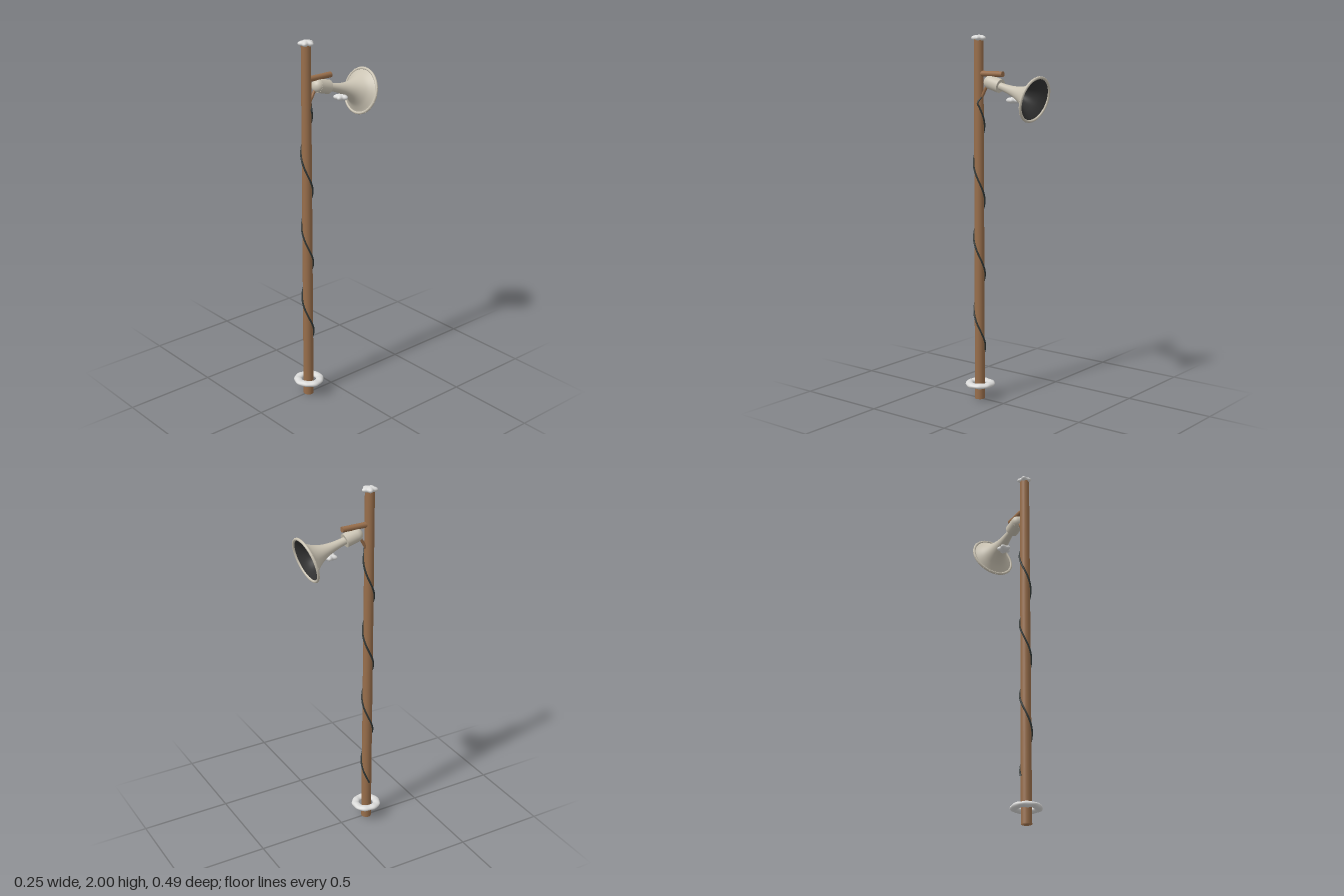
import * as THREE from 'three';
import { mergeVertices } from 'three/addons/utils/BufferGeometryUtils.js';

const POLE_Z = 0.165;

function material(name, color) {
  const m = new THREE.MeshStandardMaterial({ color });
  m.name = name;
  return m;
}

function part(parent, name, geometry, mat, x = 0, y = 0, z = 0) {
  const mesh = new THREE.Mesh(geometry, mat);
  mesh.name = name;
  mesh.position.set(x, y, z);
  parent.add(mesh);
  return mesh;
}

// Welds the corners of a geometry, so its normals run smoothly over all edges.
function weld(geometry) {
  geometry.deleteAttribute('uv');
  geometry.deleteAttribute('normal');
  const g = mergeVertices(geometry, 1e-5);
  g.computeVertexNormals();
  return g;
}

// Moves every vertex of a welded geometry by a rule.
function deform(geometry, rule) {
  const g = weld(geometry);
  const p = g.attributes.position;
  const v = new THREE.Vector3();
  for (let i = 0; i < p.count; i++) {
    rule(v.fromBufferAttribute(p, i));
    p.setXYZ(i, v.x, v.y, v.z);
  }
  g.computeVertexNormals();
  return g;
}

// Flattened, lobed lump of snow.
function snowLump(radius, height, lobes) {
  return deform(new THREE.SphereGeometry(1, 40, 20), (v) => {
    const a = Math.atan2(v.x, -v.z);
    const bump = Math.cos(lobes * a) * (1 - v.y * v.y);
    const r = radius * (1 + 0.17 * bump + 0.05 * Math.sin(2 * a + 1));
    v.set(v.x * r, v.y * height * (1 + 0.2 * bump), v.z * r);
  });
}

export function createModel() {
  const model = new THREE.Group();
  model.name = 'loudspeakerPole';

  const hornPaint = material('horn paint', 0xcac3b3);
  const hornDark = material('horn interior', 0x333333);
  const cableBlack = material('cable rubber', 0x303736);
  const snow = material('snow', 0xdadad9);
  const wood = material('wood', 0x986e4b);

  // Pole, softly shaded over its ends
  const poleHeight = 1.985;
  const radiusAt = (y) => 0.028 - 0.0025 * y / poleHeight;
  part(model, 'pole',
    weld(new THREE.CylinderGeometry(radiusAt(poleHeight), radiusAt(0), poleHeight, 24)),
    wood, 0, poleHeight / 2, POLE_Z);

  // Bracket arm and its brace
  const arm = part(model, 'bracketArm', new THREE.CylinderGeometry(0.015, 0.015, 0.162, 16),
    wood, 0, 1.797, 0.084);
  arm.rotation.x = Math.PI / 2;
  const brace = new THREE.LineCurve3(new THREE.Vector3(0, 1.66, 0.152), new THREE.Vector3(0, 1.787, 0.078));
  part(model, 'bracketBrace', new THREE.TubeGeometry(brace, 1, 0.008, 12), wood);

  // Cable winding up the pole to the foot of the brace
  const cablePoints = [];
  const pitch = 0.408, startY = 0.24, endY = 1.64;
  for (let i = 0; i <= 80; i++) {
    const y = startY + (endY - startY) * i / 80;
    const a = (y - startY) / pitch * Math.PI * 2;
    const r = radiusAt(y) + 0.003;
    cablePoints.push(new THREE.Vector3(-r * Math.cos(a), y, POLE_Z - r * Math.sin(a)));
  }
  cablePoints.push(new THREE.Vector3(0.008, 1.672, 0.142));
  part(model, 'cable', new THREE.TubeGeometry(new THREE.CatmullRomCurve3(cablePoints), 320, 0.005, 8),
    cableBlack);

  // Horn: local +y runs out of the mouth, origin at the mouth's centre
  const horn = new THREE.Group();
  horn.name = 'hornSpeaker';
  horn.position.set(0, 1.673, -0.204);
  horn.rotation.x = -(Math.PI / 2 + 0.268);
  model.add(horn);

  const curve = new THREE.SplineCurve([
    [0.02, -0.235], [0.021, -0.2], [0.026, -0.155], [0.036, -0.11],
    [0.053, -0.068], [0.076, -0.034], [0.1, -0.012], [0.118, 0],
  ].map(([x, y]) => new THREE.Vector2(x, y)));
  const profile = curve.getPoints(32);
  part(horn, 'hornBell', new THREE.LatheGeometry(profile, 48), hornPaint);
  const inner = profile.map((p) => new THREE.Vector2(p.x - 0.002, p.y + 0.002)).reverse();
  inner.push(new THREE.Vector2(0, -0.233));
  part(horn, 'hornInterior', new THREE.LatheGeometry(inner, 48), hornDark);
  const rim = part(horn, 'hornRim', new THREE.TorusGeometry(0.1175, 0.0075, 12, 64), hornPaint);
  rim.rotation.x = Math.PI / 2;
  const studGeometry = new THREE.SphereGeometry(0.0028, 8, 6);
  for (let i = 0; i < 20; i++) {
    const a = i / 20 * Math.PI * 2;
    part(horn, 'rimStud', studGeometry, hornPaint, 0.1237 * Math.sin(a), -0.002, 0.1237 * Math.cos(a));
  }

  // Driver housing with a domed back
  part(horn, 'driverHousing', new THREE.CylinderGeometry(0.037, 0.037, 0.07, 32), hornPaint, 0, -0.267, 0);
  const dome = part(horn, 'driverDome',
    new THREE.SphereGeometry(0.036, 32, 12, 0, Math.PI * 2, Math.PI / 2, Math.PI / 2),
    hornPaint, 0, -0.302, 0);
  dome.scale.y = 0.95;

  // Snow on the pole top, under the horn and round the foot
  part(model, 'snowCap', snowLump(0.036, 0.0165, 5), snow, 0, 1.9835, POLE_Z - 0.002);
  const clump = part(model, 'snowClump', snowLump(0.035, 0.017, 5), snow, 0.001, 1.664, -0.069);
  clump.rotation.y = -0.15;
  const ring = deform(new THREE.TorusGeometry(0.06, 0.0215, 16, 72).rotateX(Math.PI / 2), (v) => {
    const a = Math.atan2(v.z, v.x);
    const s = 1 + 0.015 * Math.sin(5 * a + 0.6) + 0.012 * Math.sin(9 * a) + 0.015 * Math.cos(3 * a);
    v.set(v.x * s, v.y * (0.66 + 0.06 * Math.sin(7 * a)), v.z * s);
  });
  part(model, 'snowRing', ring, snow, 0.001, 0.085, POLE_Z - 0.002);

  return model;
}
